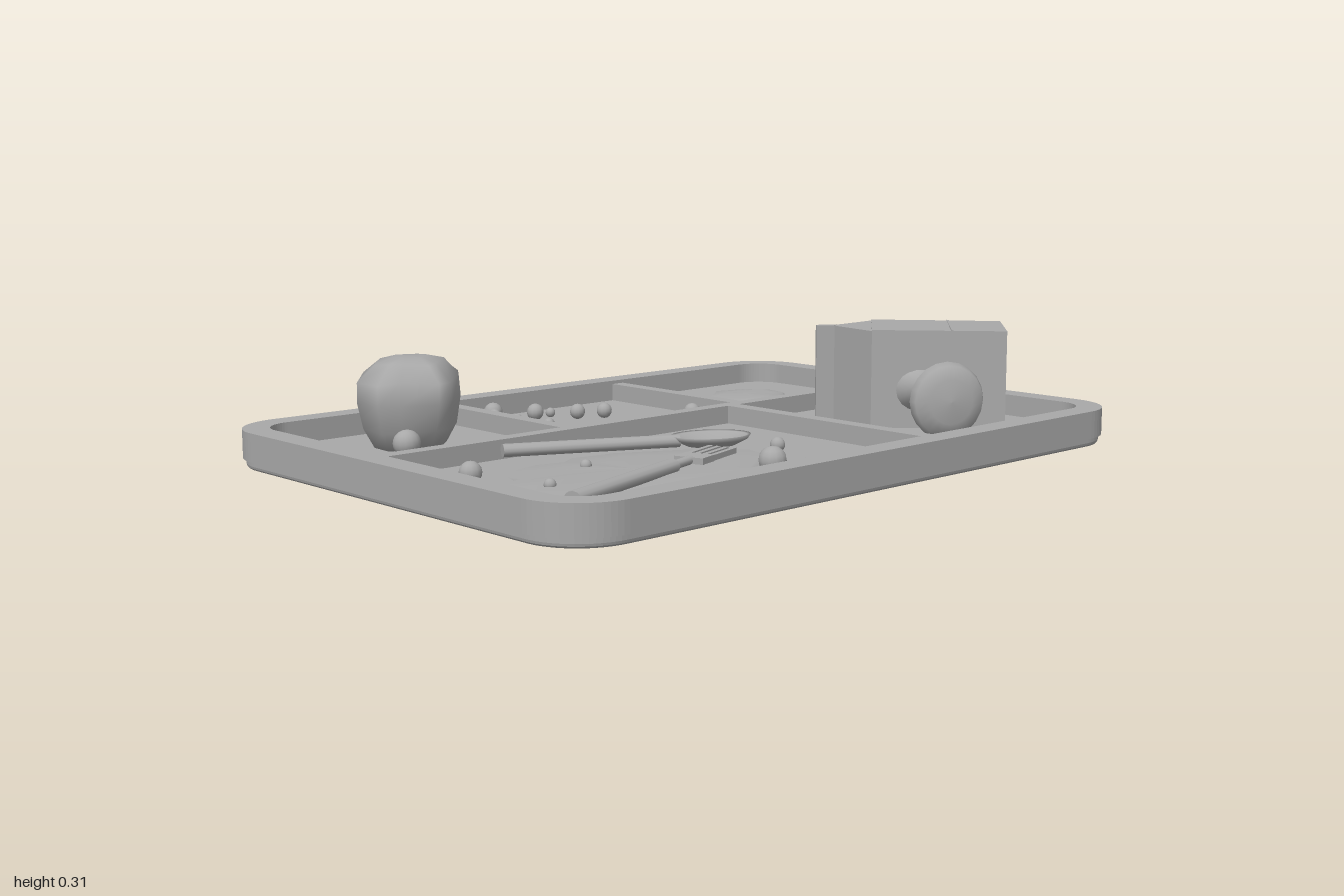
import * as THREE from 'three';

const grey = new THREE.MeshStandardMaterial({ color: 0xa8a8a8 });
grey.name = 'tray grey';
const FLOOR = 0.04;

function add(parent, name, geometry, x = 0, y = 0, z = 0) {
  const mesh = new THREE.Mesh(geometry, grey);
  mesh.name = name;
  mesh.position.set(x, y, z);
  parent.add(mesh);
  return mesh;
}

function roundedRect(w, d, r, Type = THREE.Shape) {
  const s = new Type();
  s.absarc(w - r, d - r, r, 0, Math.PI / 2);
  s.absarc(r - w, d - r, r, Math.PI / 2, Math.PI);
  s.absarc(r - w, r - d, r, Math.PI, Math.PI * 1.5);
  s.absarc(w - r, r - d, r, Math.PI * 1.5, Math.PI * 2);
  s.closePath();
  return s;
}

// Extrudes a plan drawing (x, -z) upwards
function slab(shape, depth, bevel = 0) {
  return new THREE.ExtrudeGeometry(shape, {
    depth, curveSegments: 8, bevelEnabled: bevel > 0,
    bevelSize: bevel, bevelThickness: bevel, bevelSegments: 3,
  }).rotateX(-Math.PI / 2).translate(0, bevel, 0);
}

const plan = (points) => new THREE.Shape(points.map(([x, z]) => new THREE.Vector2(x, -z)));

// Stacks scaled copies of a plan outline; layers are [scale, y, wobble]
function loft(outline, cx, cz, layers) {
  const pos = [], index = [], n = outline.length;
  layers.forEach(([s, y, wobble = 0], i) => outline.forEach(([x, z], j) => {
    const k = s * (1 + wobble * Math.sin(j * 2.3 + i * 1.7));
    pos.push(cx + (x - cx) * k, y + wobble * 0.1 * Math.sin(j * 1.9 + i), cz + (z - cz) * k);
  }));
  for (let i = 0; i < layers.length - 1; i++) for (let j = 0; j < n; j++) {
    const a = i * n + j, b = i * n + (j + 1) % n;
    index.push(a, b, b + n, a, b + n, a + n);
  }
  const g = new THREE.BufferGeometry();
  g.setAttribute('position', new THREE.Float32BufferAttribute(pos, 3));
  g.setIndex(index);
  g.computeVertexNormals();
  return g;
}

// Group whose local +x runs from one plan point towards another
function along(parent, name, [x0, z0], [x1, z1], y) {
  const g = new THREE.Group();
  g.name = name;
  g.position.set(x0, y, z0);
  g.rotation.y = Math.atan2(z0 - z1, x1 - x0);
  parent.add(g);
  return g;
}

function buildTray(root) {
  const tray = new THREE.Group();
  tray.name = 'tray';
  root.add(tray);
  add(tray, 'trayBase', slab(roundedRect(0.98, 0.69, 0.14), 0.016, 0.012));
  const rim = roundedRect(1, 0.71, 0.16);
  rim.holes.push(roundedRect(0.93, 0.64, 0.09, THREE.Path));
  add(tray, 'trayRim', slab(rim, 0.075), 0, 0.025, 0);
  // Dividers: [x, z, width, depth]
  [[0, -0.11, 1.87, 0.042], [-0.315, -0.385, 0.042, 0.52],
    [0.31, -0.385, 0.042, 0.52], [0.262, 0.275, 0.045, 0.74]].forEach(([x, z, w, d]) =>
    add(tray, 'divider', new THREE.BoxGeometry(w, 0.055, d), x, 0.0625, z));
}

function buildFood(root) {
  // Rounded lump with small balls beside it
  const lump = [[-0.78, -0.4], [-0.785, -0.3], [-0.73, -0.28], [-0.65, -0.225], [-0.6, -0.24],
    [-0.5, -0.34], [-0.465, -0.4], [-0.5, -0.46], [-0.58, -0.5], [-0.67, -0.535]];
  add(root, 'foodLump', loft(lump, -0.625, -0.385, [[0, 0.045], [0.7, 0.05], [0.9, 0.1, 0.02],
    [1, 0.17], [0.98, 0.225, 0.03], [0.65, 0.268, 0.04], [0.3, 0.28], [0, 0.28]]));
  [[-0.525, -0.49], [-0.71, -0.285]].forEach(([x, z]) =>
    add(root, 'lumpBall', new THREE.SphereGeometry(0.036, 14, 10), x, FLOOR + 0.034, z));

  // Spilled food
  const small = [[0.5, -0.45], [0.5, -0.33], [0.56, -0.31], [0.615, -0.26], [0.7, -0.32],
    [0.76, -0.36], [0.77, -0.43], [0.72, -0.5], [0.62, -0.53], [0.57, -0.49]];
  const large = [[-0.86, 0.33], [-0.78, 0.42], [-0.6, 0.45], [-0.45, 0.47], [-0.28, 0.5],
    [-0.2, 0.45], [-0.1, 0.38], [-0.05, 0.39], [-0.02, 0.27], [-0.15, 0.15], [-0.32, 0.06],
    [-0.45, 0.04], [-0.5, 0.07], [-0.58, 0.05], [-0.69, 0.08], [-0.72, 0.17], [-0.83, 0.19], [-0.8, 0.26]];
  [['smallSpill', small, 0.63, -0.4], ['largeSpill', large, -0.45, 0.28]].forEach(([name, o, x, z]) =>
    add(root, name, loft(o, x, z, [[1, 0.038], [0.95, 0.047], [0.6, 0.052, 0.02], [0, 0.053]])));

  // Peas: [x, z, radius]
  [[-0.22, -0.57, 0.027], [-0.235, -0.545, 0.02], [-0.225, -0.455, 0.018], [-0.12, -0.505, 0.024],
    [-0.055, -0.517, 0.014], [-0.018, -0.44, 0.022], [0.05, -0.402, 0.022], [-0.19, -0.357, 0.016],
    [-0.19, -0.187, 0.018], [0.21, -0.205, 0.024], [-0.81, 0.117, 0.028], [-0.512, 0.18, 0.015],
    [-0.725, 0.305, 0.015], [0.012, 0.32, 0.02], [-0.213, 0.518, 0.035], [-0.112, 0.537, 0.016],
  ].forEach(([x, z, r]) => add(root, 'pea', new THREE.SphereGeometry(r, 12, 8), x, FLOOR + r, z));
}

function buildCutlery(root) {
  const flatBar = (w, l, h) => new THREE.CylinderGeometry(0.5, 0.5, 1, 12)
    .rotateZ(Math.PI / 2).scale(l, h, w).translate(l / 2, 0, 0);

  const fork = along(root, 'fork', [-0.82, 0.5], [-0.16, 0.29], 0.065);
  add(fork, 'forkHandle', flatBar(0.046, 0.44, 0.035));
  add(fork, 'forkNeck', flatBar(0.026, 0.1, 0.022), 0.43);
  add(fork, 'forkHead', new THREE.BoxGeometry(0.06, 0.016, 0.08), 0.55);
  for (let i = 0; i < 4; i++)
    add(fork, 'forkTine', new THREE.BoxGeometry(0.125, 0.014, 0.013), 0.635, 0, (i - 1.5) * 0.022);

  const spoon = along(root, 'spoon', [-0.58, -0.06], [-0.085, 0.175], 0.068);
  add(spoon, 'spoonHandle', flatBar(0.044, 0.46, 0.034));
  // Shallow bowl with a dished top
  const profile = [[0, -0.022], [0.6, -0.016], [0.92, 0], [1, 0.012], [0.9, 0.01], [0.5, -0.003], [0, -0.008]]
    .map(([r, y]) => new THREE.Vector2(r, y));
  add(spoon, 'spoonBowl', new THREE.LatheGeometry(profile, 28).scale(0.107, 1, 0.073), 0.548);
}

function buildCarton(root) {
  // Drink carton lying on its side, gable towards the back
  const body = [[0.922, 0.335], [0.72, 0.51], [0.477, 0.233], [0.686, 0.05]];
  const gable = [[0.477, 0.233], [0.505, 0.07], [0.52, 0.056], [0.686, 0.05]];
  const fin = [[0.505, 0.07], [0.465, 0.038], [0.477, 0.024], [0.525, 0.06]];
  const carton = new THREE.Group();
  carton.name = 'carton';
  root.add(carton);
  add(carton, 'cartonBody', slab(plan(body), 0.272), 0, FLOOR, 0);
  add(carton, 'cartonGable', slab(plan(gable), 0.268), 0, FLOOR + 0.001, 0);
  add(carton, 'cartonFin', slab(plan(fin), 0.27), 0, FLOOR, 0);
  // Fold line across the upper side
  const fold = along(carton, 'cartonFold', [0.62, 0.4], [0.826, 0.22], 0.3125);
  add(fold, 'foldStrip', new THREE.BoxGeometry(0.272, 0.003, 0.006), 0.137);

  // Fruit core tipped against the carton
  const core = along(root, 'fruitCore', [0.458, 0.53], [0.628, 0.24], FLOOR + 0.105);
  const profile = [[0, 0], [0.06, 0.004], [0.095, 0.02], [0.104, 0.04], [0.095, 0.06], [0.065, 0.1],
    [0.052, 0.14], [0.05, 0.18], [0.06, 0.23], [0.09, 0.28], [0.09, 0.31], [0, 0.33]]
    .map(([r, y]) => new THREE.Vector2(r, y));
  add(core, 'coreBody', new THREE.LatheGeometry(profile, 20).rotateZ(-Math.PI / 2));
}

export function createModel() {
  const root = new THREE.Group();
  root.name = 'lunchTray';
  buildTray(root);
  buildFood(root);
  buildCutlery(root);
  buildCarton(root);
  return root;
}
